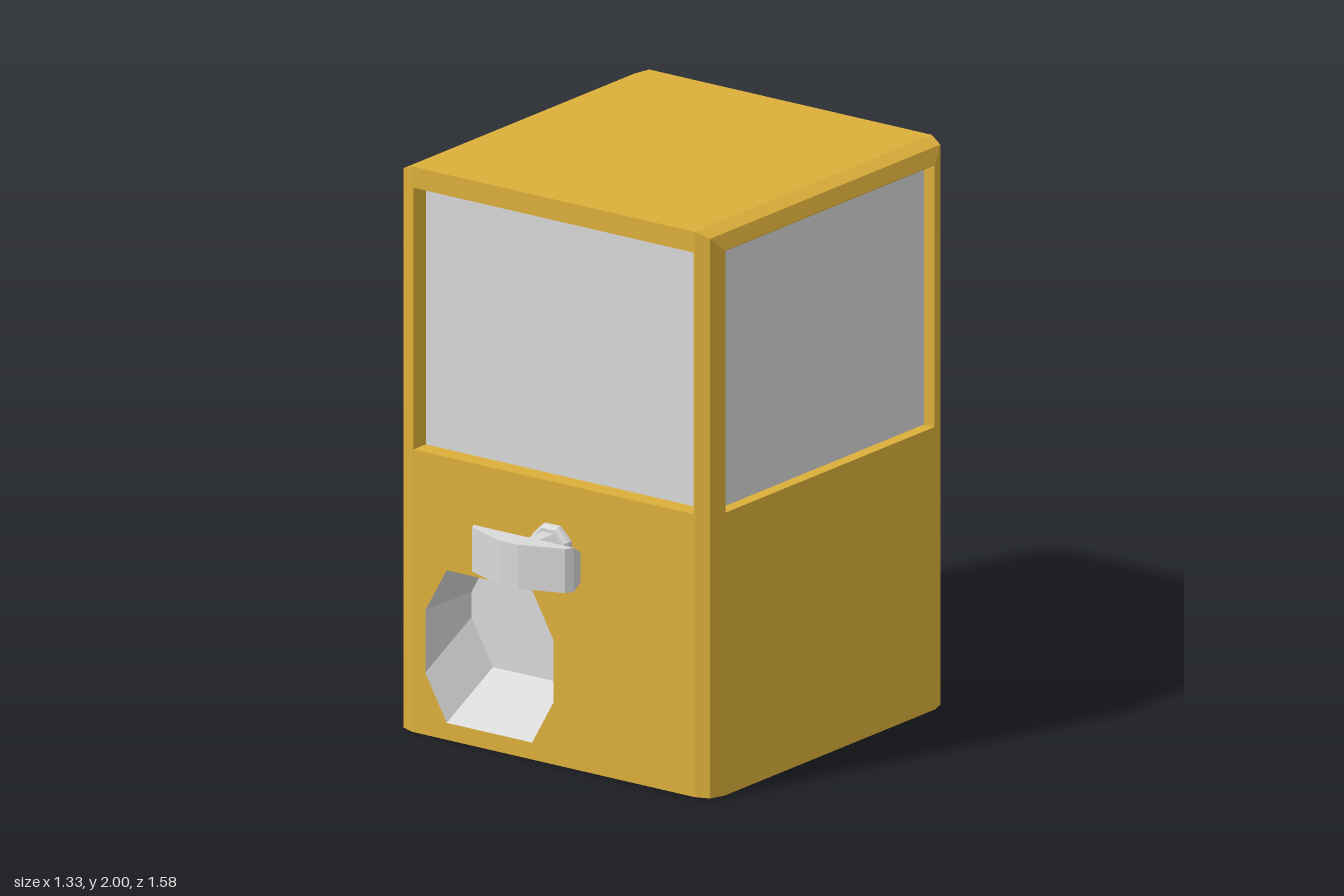
import * as THREE from 'three';

const yellow = new THREE.MeshStandardMaterial({ color: 0xdcaf3a });
yellow.name = 'yellow paint';
const grey = new THREE.MeshStandardMaterial({ color: 0xd9d9d9 });
grey.name = 'light grey';

const CENTRE_Z = -0.127;
// half plan of one rounded corner, with the roof height above each point
const CORNER = [
  { x: 0.595, z: 0.664, h: 2 },
  { x: 0.645, z: 0.645, h: 1.98 },
  { x: 0.665, z: 0.59, h: 1.93 },
];

// flat-shaded mesh from quads of corner points, counter-clockwise from outside
function quadMesh(name, quads, material) {
  const pos = [];
  for (const [a, b, c, d] of quads) pos.push(...a, ...b, ...c, ...a, ...c, ...d);
  const geo = new THREE.BufferGeometry();
  geo.setAttribute('position', new THREE.Float32BufferAttribute(pos, 3));
  geo.computeVertexNormals();
  return addName(new THREE.Mesh(geo, material), name);
}

function addName(object, name) {
  object.name = name;
  return object;
}

const toShape = (pts) => new THREE.Shape(pts.map(([x, y]) => new THREE.Vector2(x, y)));
const rect = (w, y0, y1) => [[-w, y0], [w, y0], [w, y1], [-w, y1]];

// pocket set behind a panel: walls from the front outline to the back one, and a back plate
function pocket(name, front, back, depth, wallMaterial) {
  const group = addName(new THREE.Group(), name);
  const walls = front.map((p, i) => {
    const j = (i + 1) % front.length;
    return [[...p, 0], [...front[j], 0], [...back[j], -depth], [...back[i], -depth]];
  });
  const plate = new THREE.Mesh(new THREE.ShapeGeometry(toShape(back)), grey);
  plate.position.z = -depth;
  group.add(quadMesh(name + 'Walls', walls, wallMaterial), addName(plate, name + 'Back'));
  return group;
}

// one upright side of the cabinet with its window and, if given, further pockets
function side(name, halfWidth, height, windowHalf, depth, extra) {
  const group = addName(new THREE.Group(), name);
  const win = rect(windowHalf, 1, 1.926);
  const shape = toShape(rect(halfWidth, 0, height));
  shape.holes.push(toShape(win));
  group.add(pocket('window', win, win, depth, yellow));
  if (extra) {
    shape.holes.push(toShape(extra.front));
    group.add(pocket('dispenserTray', extra.front, extra.back, extra.depth, grey));
  }
  group.add(addName(new THREE.Mesh(new THREE.ShapeGeometry(shape), yellow), 'panel'));
  return group;
}

function createCabinet() {
  const cabinet = addName(new THREE.Group(), 'cabinet');
  cabinet.position.z = CENTRE_Z;

  // octagonal tray opening whose lower edges rise towards the back
  const tray = [[-0.45, 0.06], [-0.09, 0.06], [0, 0.22], [0, 0.44],
    [-0.09, 0.6], [-0.45, 0.6], [-0.54, 0.44], [-0.54, 0.22]];
  const trayBack = tray.map(([x, y]) => [x, y < 0.3 ? y + 0.13 : y]);

  const [a, , c] = CORNER;
  const front = side('frontSide', a.x, 2, 0.59, 0.07, { front: tray, back: trayBack, depth: 0.26 });
  front.position.z = a.z;
  const back = side('backSide', a.x, 2, 0.59, 0.045);
  back.rotation.y = Math.PI;
  back.position.z = -a.z;
  cabinet.add(front, back);
  for (const s of [1, -1]) {
    const flank = side(s > 0 ? 'leftSide' : 'rightSide', c.z, c.h, 0.586, 0.045);
    flank.rotation.y = s * Math.PI / 2;
    flank.position.x = s * c.x;
    cabinet.add(flank);
  }

  // bevelled corner posts
  const posts = [];
  for (const sx of [1, -1]) for (const sz of [1, -1]) for (let i = 0; i < 2; i++) {
    let p = CORNER[i], q = CORNER[i + 1];
    if (sx * sz < 0) [p, q] = [q, p];
    posts.push([[sx * p.x, 0, sz * p.z], [sx * q.x, 0, sz * q.z],
      [sx * q.x, q.h, sz * q.z], [sx * p.x, p.h, sz * p.z]]);
  }
  cabinet.add(quadMesh('cornerPosts', posts, yellow));

  // roof with bevelled flanks, and floor, as strips running front to back
  const ribs = [...CORNER.map((p) => ({ ...p, x: -p.x })).reverse(), ...CORNER];
  const roof = [], floor = [];
  for (let i = 0; i < ribs.length - 1; i++) {
    const p = ribs[i], q = ribs[i + 1];
    const strip = (hp, hq) => [[p.x, hp, p.z], [q.x, hq, q.z], [q.x, hq, -q.z], [p.x, hp, -p.z]];
    roof.push(strip(p.h, q.h));
    floor.push(strip(0, 0).reverse());
  }
  cabinet.add(quadMesh('roof', roof, yellow), quadMesh('floor', floor, yellow));
  return cabinet;
}

// octagonal bar along z
function octagonBar(name, r0, r1, z0, z1) {
  const k = 1 / Math.cos(Math.PI / 8);
  const geo = new THREE.CylinderGeometry(r1 * k, r0 * k, z1 - z0, 8).toNonIndexed();
  geo.rotateY(Math.PI / 8).rotateX(Math.PI / 2).translate(0, 0, (z0 + z1) / 2);
  geo.computeVertexNormals();
  return addName(new THREE.Mesh(geo, grey), name);
}

function createHandle() {
  const handle = addName(new THREE.Group(), 'handle');
  handle.position.y = 0.773;
  handle.add(
    octagonBar('collar', 0.077, 0.077, 0.53, 0.555),
    octagonBar('collarBevel', 0.077, 0.068, 0.555, 0.568),
    octagonBar('stem', 0.055, 0.055, 0.56, 0.68),
  );

  // grip: bowed front, extruded upwards
  const outline = [[-0.212, 0.705], [-0.195, 0.733], [-0.04, 0.79], [0.04, 0.79], [0.195, 0.733], [0.212, 0.705]];
  const gripGeo = new THREE.ExtrudeGeometry(toShape(outline.map(([x, z]) => [x, -z])), { depth: 0.156, bevelEnabled: false });
  gripGeo.rotateX(-Math.PI / 2).translate(0, -0.078, 0);
  handle.add(addName(new THREE.Mesh(gripGeo, grey), 'grip'));

  // back of the grip, tapering in height towards the stem
  const backGeo = new THREE.BoxGeometry(0.424, 0.156, 0.036).toNonIndexed();
  const pos = backGeo.attributes.position;
  for (let i = 0; i < pos.count; i++) if (pos.getZ(i) < 0) pos.setY(i, pos.getY(i) * 0.7);
  backGeo.translate(0, 0, 0.687);
  backGeo.computeVertexNormals();
  handle.add(addName(new THREE.Mesh(backGeo, grey), 'gripBack'));
  return handle;
}

export function createModel() {
  const model = addName(new THREE.Group(), 'vendingMachine');
  model.add(createCabinet(), createHandle());
  return model;
}
